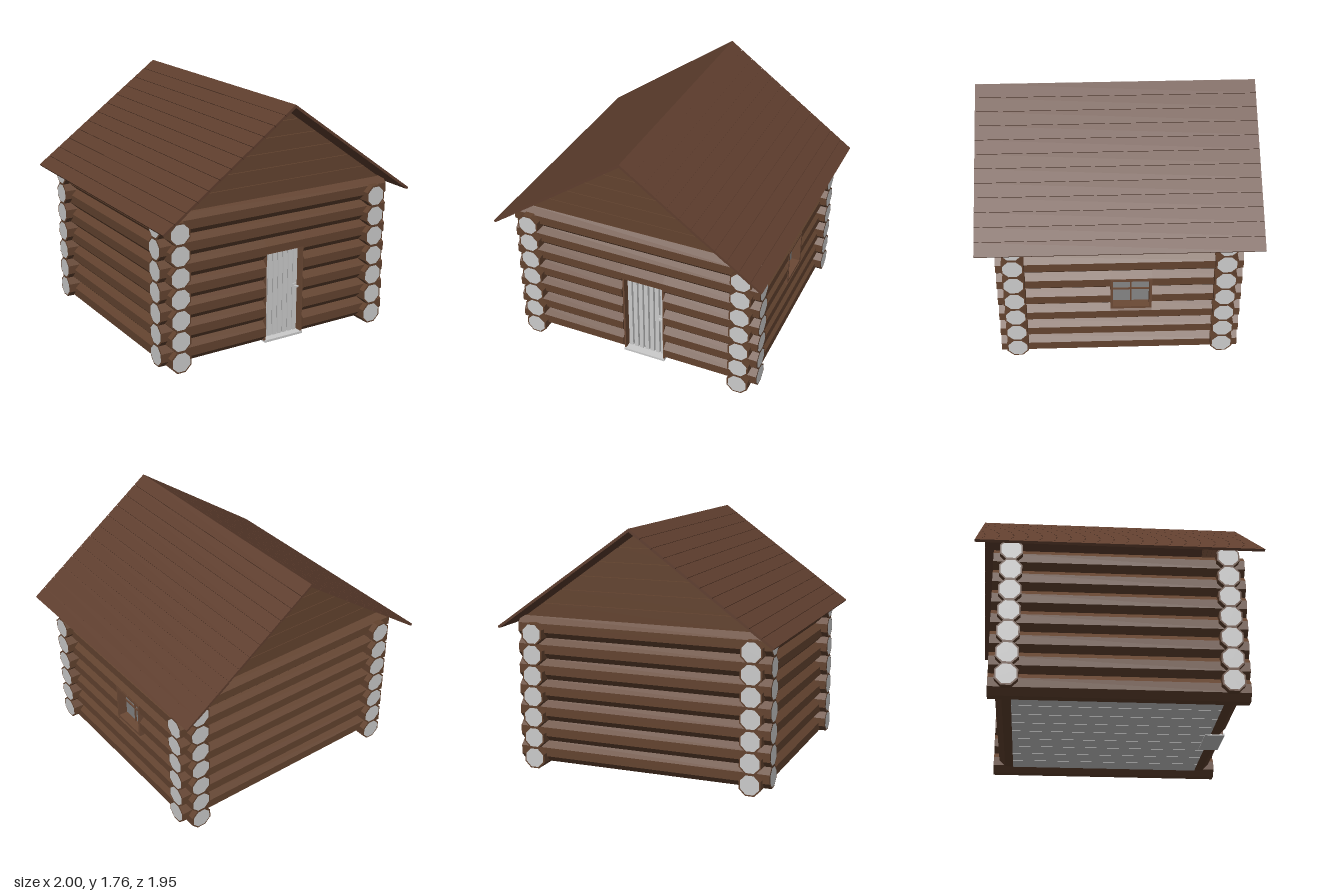
import * as THREE from 'three';

const mat = (color) => new THREE.MeshStandardMaterial({ color, flatShading: true });
const BARK = mat(0x63432f), ROOF = mat(0x5f3e2e), FRAME = mat(0x6b4935);
const GREY = mat(0xcccccc), DARK = mat(0x8c8c8c), GLASS = mat(0x858585);

const R = 0.083, STEP = 0.15, COUNT = 7;
const WALL_X = 0.805, WALL_Z = 0.73;        // log centre lines
const END_X = 0.93, END_Z = 0.85;           // log ends
const DOOR = { a: -0.1, b: 0.22, bottom: 0.04, top: 0.695 };
const WINDOW = { a: -0.225, b: 0.065, bottom: 0.435, top: 0.705 };

function add(parent, name, geometry, material, x = 0, y = 0, z = 0) {
  const mesh = new THREE.Mesh(geometry, material);
  mesh.name = name;
  mesh.position.set(x, y, z);
  parent.add(mesh);
  return mesh;
}

function box(parent, name, material, w, h, d, x, y, z) {
  return add(parent, name, new THREE.BoxGeometry(w, h, d), material, x, y, z);
}

// Eight-sided log from a to b along z, trimmed between heights lo and hi
function logPiece(parent, a, b, y, lo = -R, hi = R) {
  const g = new THREE.CylinderGeometry(R, R, b - a, 8, 1, false, Math.PI / 8);
  g.rotateX(Math.PI / 2);
  const p = g.attributes.position;
  for (let i = 0; i < p.count; i++) p.setY(i, Math.min(hi, Math.max(lo, p.getY(i))));
  add(parent, 'log', g, BARK, 0, y, (a + b) / 2);
}

// One wall of stacked logs along local z, with an optional opening
function logWall(name, end, baseY, opening) {
  const wall = new THREE.Group();
  wall.name = name;
  for (let i = 0; i < COUNT; i++) {
    const y = baseY + i * STEP;
    const h = R * Math.cos(Math.PI / 8);
    if (opening && y + h > opening.bottom && y - h < opening.top) {
      logPiece(wall, -end, opening.a, y);
      logPiece(wall, opening.b, end, y);
      // remaining part of the log above or below the opening
      if (y + h > opening.top) logPiece(wall, opening.a, opening.b, y, opening.top - y);
      if (y - h < opening.bottom - 0.02) logPiece(wall, opening.a, opening.b, y, -R, opening.bottom - y);
    } else {
      logPiece(wall, -end, end, y);
    }
    // pale cut ends
    for (const s of [1, -1]) {
      const cut = add(wall, 'logEnd', new THREE.CircleGeometry(0.072, 8, Math.PI / 8), GREY, 0, y, s * (end + 0.002));
      if (s < 0) cut.rotation.y = Math.PI;
    }
  }
  return wall;
}

function buildDoor() {
  const door = new THREE.Group();
  door.name = 'door';
  const { a, b, bottom, top } = DOOR;
  const w = b - a, h = top - bottom, cx = (a + b) / 2, cy = (bottom + top) / 2;
  box(door, 'doorBacking', DARK, w - 0.02, h, 0.02, cx, cy, 0.72);
  const n = 7, pitch = (w - 0.024) / n;
  for (let i = 0; i < n; i++) {
    box(door, 'doorPlank', GREY, pitch - 0.013, h - 0.014, 0.018, a + 0.012 + (i + 0.5) * pitch, cy, 0.737);
  }
  for (const x of [a + 0.006, b - 0.006]) box(door, 'doorJamb', FRAME, 0.012, h, 0.12, x, cy, 0.73);
  box(door, 'doorHeader', FRAME, w, 0.012, 0.12, cx, top - 0.006, 0.73);
  box(door, 'doorSill', GREY, w, 0.016, 0.14, cx, 0.038, 0.73);
  box(door, 'handlePlate', GREY, 0.026, 0.05, 0.008, 0.178, 0.38, 0.75);
  box(door, 'handleGrip', GREY, 0.032, 0.012, 0.014, 0.184, 0.385, 0.766);
  return door;
}

function buildWindow() {
  const win = new THREE.Group();
  win.name = 'window';
  const { a, b, bottom, top } = WINDOW;
  const w = b - a, h = top - bottom, cz = (a + b) / 2, cy = (bottom + top) / 2;
  box(win, 'glass', GLASS, 0.01, h - 0.02, w - 0.02, 0.815, cy, cz);
  for (const z of [a + 0.009, b - 0.009]) box(win, 'windowJamb', FRAME, 0.14, h, 0.018, 0.815, cy, z);
  for (const y of [bottom + 0.009, top - 0.009]) box(win, 'windowRail', FRAME, 0.14, 0.018, w, 0.815, y, cz);
  box(win, 'verticalBar', FRAME, 0.024, h, 0.01, 0.818, cy, cz);
  box(win, 'horizontalBar', FRAME, 0.024, 0.01, w, 0.818, cy, cz);
  return win;
}

// Tapered boards filling the triangle under the roof
function buildGable(name, z) {
  const gable = new THREE.Group();
  gable.name = name;
  const n = 6, y0 = 1.085, pitch = 0.104;
  const half = (y) => (1.728 - y) / 0.715;
  for (let i = 0; i < n; i++) {
    const lo = y0 + i * pitch, hi = lo + pitch - 0.004;
    const shape = new THREE.Shape([
      new THREE.Vector2(-half(lo), lo), new THREE.Vector2(half(lo), lo),
      new THREE.Vector2(half(hi), hi), new THREE.Vector2(-half(hi), hi),
    ]);
    add(gable, 'gableBoard', new THREE.ExtrudeGeometry(shape, { depth: 0.03, bevelEnabled: false }), BARK, 0, 0, z - 0.015);
  }
  return gable;
}

// One roof slope of long boards running front to back
function buildSlope(side) {
  const slope = new THREE.Group();
  slope.name = side > 0 ? 'leftRoofSlope' : 'rightRoofSlope';
  const rise = 0.715, length = Math.hypot(1, rise), n = 12, pitch = length / n;
  for (let i = 0; i < n; i++) {
    const t = 0.018 - (i % 2) * 0.003;
    box(slope, 'roofBoard', ROOF, pitch - 0.003, t, 1.945, side * (i + 0.5) * pitch, -t / 2, 0);
  }
  // under-layer closing the joints
  box(slope, 'roofLining', ROOF, length - 0.01, 0.006, 1.94, side * length / 2, -0.015, 0);
  slope.position.y = 1.757;
  slope.rotation.z = -side * Math.atan(rise);
  return slope;
}

export function createModel() {
  const cabin = new THREE.Group();
  cabin.name = 'logCabin';

  // Side walls run along z, front and back walls along x
  const left = logWall('leftWall', END_Z, 0.077, WINDOW);
  left.position.x = WALL_X;
  const right = logWall('rightWall', END_Z, 0.077);
  right.position.x = -WALL_X;
  const front = logWall('frontWall', END_X, 0.115, DOOR);
  front.position.z = WALL_Z;
  const back = logWall('backWall', END_X, 0.115);
  back.position.z = -WALL_Z;
  front.rotation.y = back.rotation.y = Math.PI / 2;
  cabin.add(left, right, front, back);

  cabin.add(buildDoor(), buildWindow());
  cabin.add(buildGable('frontGable', 0.745), buildGable('backGable', -0.745));
  cabin.add(buildSlope(1), buildSlope(-1));

  // Floor boards
  const floor = new THREE.Group();
  floor.name = 'floor';
  const n = 9, pitch = 1.48 / n;
  for (let i = 0; i < n; i++) {
    box(floor, 'floorBoard', GREY, pitch - 0.006, 0.02, 1.4, -0.74 + (i + 0.5) * pitch, 0.046, 0);
  }
  cabin.add(floor);
  return cabin;
}
